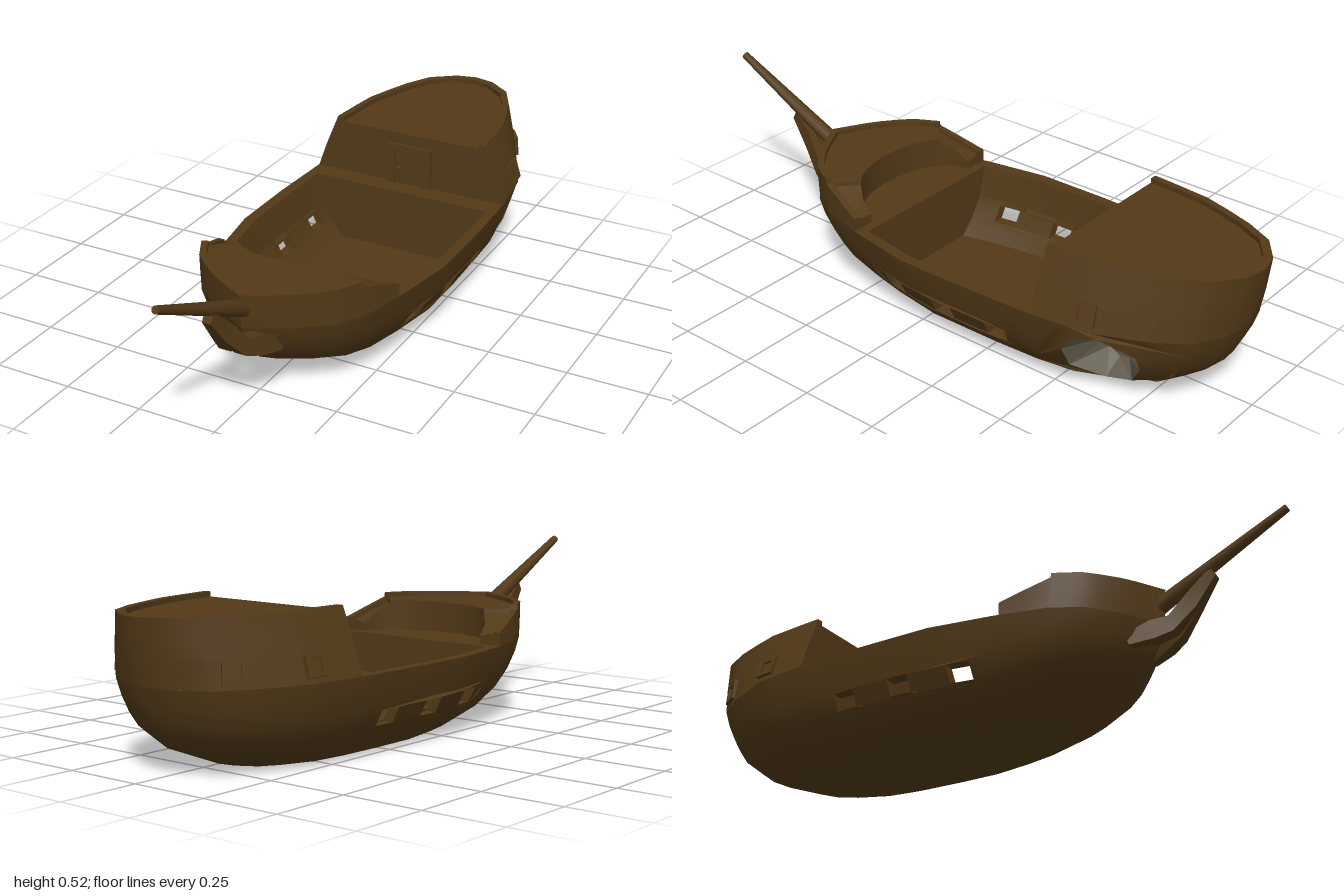
import * as THREE from 'three';
import { toCreasedNormals } from 'three/addons/utils/BufferGeometryUtils.js';

const wood = new THREE.MeshStandardMaterial({ color: 0x523917, side: THREE.DoubleSide });
const inside = new THREE.MeshStandardMaterial({ color: 0x5e584a, side: THREE.DoubleSide });

// piecewise linear lookup: rows of [key, value...]
function look(table, key, col = 1) {
  let i = 1;
  while (i < table.length - 1 && table[i][0] < key) i++;
  const a = table[i - 1], b = table[i];
  const t = THREE.MathUtils.clamp((key - a[0]) / (b[0] - a[0]), 0, 1);
  return a[col] + t * (b[col] - a[col]);
}

// hull levels: y, half width, bow z, stern z
const LEVELS = [[0, .205, .26, -.69], [.055, .27, .41, -.83], [.11, .305, .5, -.9], [.17, .33, .56, -.94],
  [.25, .345, .59, -.965], [.33, .316, .6, -.982], [.44, .27, .6, -1]];
// plan outline: position from stern to bow, share of the half width
const PLAN = [[0, 0], [.01, .25], [.045, .53], [.1, .7], [.2, .9], [.31, .97], [.47, 1], [.62, 1],
  [.75, .9], [.85, .79], [.91, .64], [.96, .35], [1, 0]];
const TOP = [[.22, .29], [.37, .345], [.372, .36], [.6, .36]]; // forecastle rail height by z
const bowZ = y => look(LEVELS, y, 2), sternZ = y => look(LEVELS, y, 3);
function half(z, y) {
  const w = z > 0 && y > .25 ? .343 : look(LEVELS, y);
  return w * look(PLAN, (z - sternZ(y)) / (bowZ(y) - sternZ(y)));
}
const WALL = .035;
const inner = (z, y) => Math.max(0, half(z, y) - WALL);
const zAt = (u, y) => sternZ(y) + u * (bowZ(y) - sternZ(y));

// mesh from quads and triangles drawn once per side, mirrored in x
function surface(name, draw, { sides = [1, -1], material = wood, crease = .55 } = {}) {
  const pos = [];
  for (const s of sides) {
    const tri = (a, b, c) => (s > 0 ? [a, b, c] : [a, c, b]).forEach(p => pos.push(p[0] * s, p[1], p[2]));
    const quad = (a, b, c, d) => { tri(a, b, c); tri(a, c, d); };
    const grid = (n, m, at, skip) => {
      for (let i = 0; i < n - 1; i++) for (let j = 0; j < m - 1; j++)
        if (!skip || !skip(i, j)) quad(at(i, j), at(i, j + 1), at(i + 1, j + 1), at(i + 1, j));
    };
    // side panel in (z, y) with openings, wrapped onto width function xf
    const panel = (outline, holes, xf) => {
      const vec = l => l.map(p => new THREE.Vector2(...p));
      const all = [outline, ...holes].flat().map(([z, y]) => [xf(z, y), y, z]);
      for (const [a, b, c] of THREE.ShapeUtils.triangulateShape(vec(outline), holes.map(vec)))
        tri(all[a], all[c], all[b]);
    };
    draw({ quad, tri, grid, panel, s });
  }
  const geo = new THREE.BufferGeometry();
  geo.setAttribute('position', new THREE.Float32BufferAttribute(pos, 3));
  const mesh = new THREE.Mesh(toCreasedNormals(geo, crease), material);
  mesh.name = name;
  return mesh;
}

const US = [0, .01, .045, .1, .15, .2, .25, .31, .36, .42, .47, .55, .62, .68, .75, .8, .85, .91, .96, 1];
const ROWS = [0, .03, .055, .08, .11, .15, .2, .25];
const PORTS = [.075, -.125, -.322].map(z => [[z - .036, .09], [z + .036, .09], [z + .036, .138], [z - .036, .138]]);
const BREACH = [[-.59, .21], [-.67, .23], [-.765, .18], [-.765, .13], [-.716, .055], [-.64, .043], [-.56, .085], [-.556, .155]];
const WELL = [-.4, -.3, -.2, -.1, 0, .1, .19];
const WELL_ROWS = [.04, .08, .15, .25];

// outline of a block of hull cells in (z, y)
function cellOutline(i0, i1, j0, j1) {
  const out = [], add = (i, j) => out.push([zAt(US[i], ROWS[j]), ROWS[j]]);
  for (let i = i0; i < i1; i++) add(i, j0);
  for (let j = j0; j < j1; j++) add(i1, j);
  for (let i = i1; i > i0; i--) add(i, j1);
  for (let j = j1; j > j0; j--) add(i0, j);
  return out;
}

function windowFrame(z, y, s) {
  const group = new THREE.Group();
  group.name = 'sternWindow';
  const box = r => [[-r, -r], [r, -r], [r, r], [-r, r]].map(p => new THREE.Vector2(...p));
  const shape = new THREE.Shape(box(.033));
  shape.holes.push(new THREE.Path(box(.019)));
  const frame = new THREE.Mesh(new THREE.ExtrudeGeometry(shape, { depth: .022, bevelEnabled: false }), wood);
  frame.position.z = -.012;
  const pane = new THREE.Mesh(new THREE.BoxGeometry(.04, .04, .006), wood);
  group.add(frame, pane);
  const e = .02, x = half(z, y);
  const n = new THREE.Vector3(1, (half(z, y - e) - half(z, y + e)) / (2 * e), (half(z - e, y) - half(z + e, y)) / (2 * e));
  group.position.set(x * s, y, z);
  group.lookAt((x + n.x) * s, y + n.y, z + n.z);
  return group;
}

export function createModel() {
  const ship = new THREE.Group();
  ship.name = 'ship';

  // outer hull up to the waist rail, with gunports on both sides and a breach on one
  ship.add(surface('hull', ({ grid, panel, s }) => {
    const portCell = (i, j) => i >= 8 && i < 14 && j >= 3 && j < 5;
    const breachCell = (i, j) => s > 0 && i >= 2 && i < 7 && j >= 1;
    grid(US.length, ROWS.length, (i, j) => {
      const u = US[i], y = ROWS[j];
      return [look(LEVELS, y) * look(PLAN, u), y, zAt(u, y)];
    }, (i, j) => portCell(i, j) || breachCell(i, j));
    panel(cellOutline(8, 14, 3, 5), PORTS, half);
    if (s > 0) panel(cellOutline(2, 7, 1, 7), [BREACH], half);
    grid(US.length, 2, (i, j) => [j * look(LEVELS, 0) * look(PLAN, US[i]), 0, zAt(US[i], 0)]);
  }));

  // well of the main deck: inner walls, floor, bulkheads, rail and port linings
  ship.add(surface('mainDeck', ({ quad, grid, panel }) => {
    grid(WELL.length, 4, (i, j) => [inner(WELL[i], WELL_ROWS[j]), WELL_ROWS[j], WELL[i]], (i, j) => j === 1);
    const line = y => WELL.map(z => [z, y]);
    panel([...line(.08), ...line(.15).reverse()], PORTS, inner);
    grid(WELL.length, 2, (i, j) => [j * inner(WELL[i], .04), .04, WELL[i]]);
    for (const z of [-.4, .19])
      grid(4, 2, (i, j) => [j * inner(z, WELL_ROWS[i]), WELL_ROWS[i], z]);
    grid(WELL.length, 2, (i, j) => [half(WELL[i], .25) - WALL * j, .25, WELL[i]]);
    for (const port of PORTS) port.forEach(([z, y], k) => {
      const [z2, y2] = port[(k + 1) % 4];
      quad([half(z, y), y, z], [half(z2, y2), y2, z2], [inner(z2, y2), y2, z2], [inner(z, y), y, z]);
    });
    for (const zs of [[-.47, -.4], [.19, .22, .3, .37]])
      grid(zs.length, 2, (i, j) => [j * half(zs[i], .25), .25, zs[i]]);
  }, { crease: .4 }));

  // stern castle: sides, low rim, top deck and front wall
  const AFT = [0, .03, .14, .31, .47, .63, .8, .97, 1], FRONT = -.47;
  ship.add(surface('sternCastle', ({ quad, grid }) => {
    const ys = [.25, .33, .385, .44];
    const z = (i, y) => sternZ(y) + AFT[i] * (FRONT - sternZ(y));
    grid(AFT.length, 4, (i, j) => [half(z(i, ys[j]), ys[j]), ys[j], z(i, ys[j])]);
    const rim = (i, k, y) => [half(z(i, .44), .44) * k, y, z(i, .44) + (k < 1 ? .028 * (1 - AFT[i]) : 0)];
    grid(AFT.length, 4, (i, j) => [rim(i, 1, .44), rim(i, .92, .44), rim(i, .92, .425), rim(i, 0, .425)][j]);
    grid(4, 2, (i, j) => [j * half(FRONT, [.25, .33, .385, .425][i]), [.25, .33, .385, .425][i], FRONT]);
    const w = half(FRONT, .44);
    quad([w * .92, .425, FRONT], [w * 1.02, .425, FRONT], [w, .44, FRONT], [w * .92, .44, FRONT]);
  }));

  // forecastle: bow bulwark, rim and raised deck with a curved inner edge
  const FORE = [0, .2, .395, .4, .5, .6, .7, .8, .87, .92, 1];
  ship.add(surface('forecastle', ({ quad, grid }) => {
    const side = (i, j) => {
      const top = look(TOP, .22 + FORE[i] * .38), y = .25 + (top - .25) * j / 2;
      const z = .22 + FORE[i] * (bowZ(y) - .22);
      return [half(z, y), y, z];
    };
    const rim = (i, drop) => {
      const [x, y, z] = side(i, 2);
      return [x * .93, y - drop, z - .022 * FORE[i]];
    };
    const arc = (i, y) => {
      const a = FORE[i] * Math.PI / 2;
      return [.23 * Math.cos(a), y, .22 + .14 * Math.sin(a)];
    };
    grid(FORE.length, 3, side);
    grid(FORE.length, 5, (i, j) =>
      [side(i, 2), rim(i, 0), rim(i, .014), arc(i, side(i, 2)[1] - .014), arc(i, .25)][j]);
    quad(arc(0, .25), side(0, 0), side(0, 2), arc(0, side(0, 2)[1] - .014));
  }));

  // broken hole in the hull: tapering recess with a flat back
  ship.add(surface('hullBreach', ({ quad, tri }) => {
    const mid = [-.66, .135];
    const deep = ([z, y]) => [half(...mid) - .12, mid[1] + (y - mid[1]) * .45, mid[0] + (z - mid[0]) * .45];
    BREACH.forEach((p, k) => {
      const q = BREACH[(k + 1) % BREACH.length];
      quad([half(...p), p[1], p[0]], deep(p), deep(q), [half(...q), q[1], q[0]]);
      tri(deep(p), deep(mid), deep(q));
    });
  }, { sides: [1], material: inside, crease: .2 }));

  // bowsprit
  const from = new THREE.Vector3(0, .295, .55), to = new THREE.Vector3(0, .512, .993);
  const bowsprit = new THREE.Mesh(new THREE.CylinderGeometry(.012, .027, from.distanceTo(to), 8), wood);
  bowsprit.name = 'bowsprit';
  bowsprit.position.copy(from).add(to).multiplyScalar(.5);
  bowsprit.quaternion.setFromUnitVectors(new THREE.Vector3(0, 1, 0), to.clone().sub(from).normalize());
  ship.add(bowsprit);

  // curved knees under the bowsprit: x in, x out, y low, y high, z
  const KNEE = [[0, .014, .355, .385, .765], [0, .022, .27, .33, .705], [.005, .045, .2, .25, .64],
    [.02, .065, .18, .24, .59], [.06, .088, .168, .205, .52]];
  ship.add(surface('beakheadKnees', ({ grid, quad }) => {
    const at = (i, j) => {
      const [a, b, lo, hi, z] = KNEE[i];
      return [[a, lo, z], [b, lo, z], [b, hi, z - .015], [a, hi, z - .015], [a, lo, z]][j];
    };
    grid(KNEE.length, 5, at);
    for (const i of [0, KNEE.length - 1]) quad(at(i, 0), at(i, 1), at(i, 2), at(i, 3));
  }));

  // cabin door with frame and knob
  const door = new THREE.Group();
  door.name = 'cabinDoor';
  const block = (name, w, h, d, x, y, z) => {
    const m = new THREE.Mesh(new THREE.BoxGeometry(w, h, d), wood);
    m.name = name;
    m.position.set(x, y, z);
    door.add(m);
  };
  for (const s of [1, -1]) block('doorPost', .032, .137, .016, s * .064, .3185, FRONT + .004);
  block('doorLintel', .096, .022, .016, 0, .376, FRONT + .004);
  block('doorPanel', .096, .115, .008, 0, .3075, FRONT + .002);
  const knob = new THREE.Mesh(new THREE.SphereGeometry(.005, 8, 6), wood);
  knob.name = 'doorKnob';
  knob.position.set(-.034, .305, FRONT + .009);
  door.add(knob);
  ship.add(door);

  // stern windows
  for (const s of [1, -1]) for (const z of [-.63, -.845]) ship.add(windowFrame(z, .297, s));
  return ship;
}
